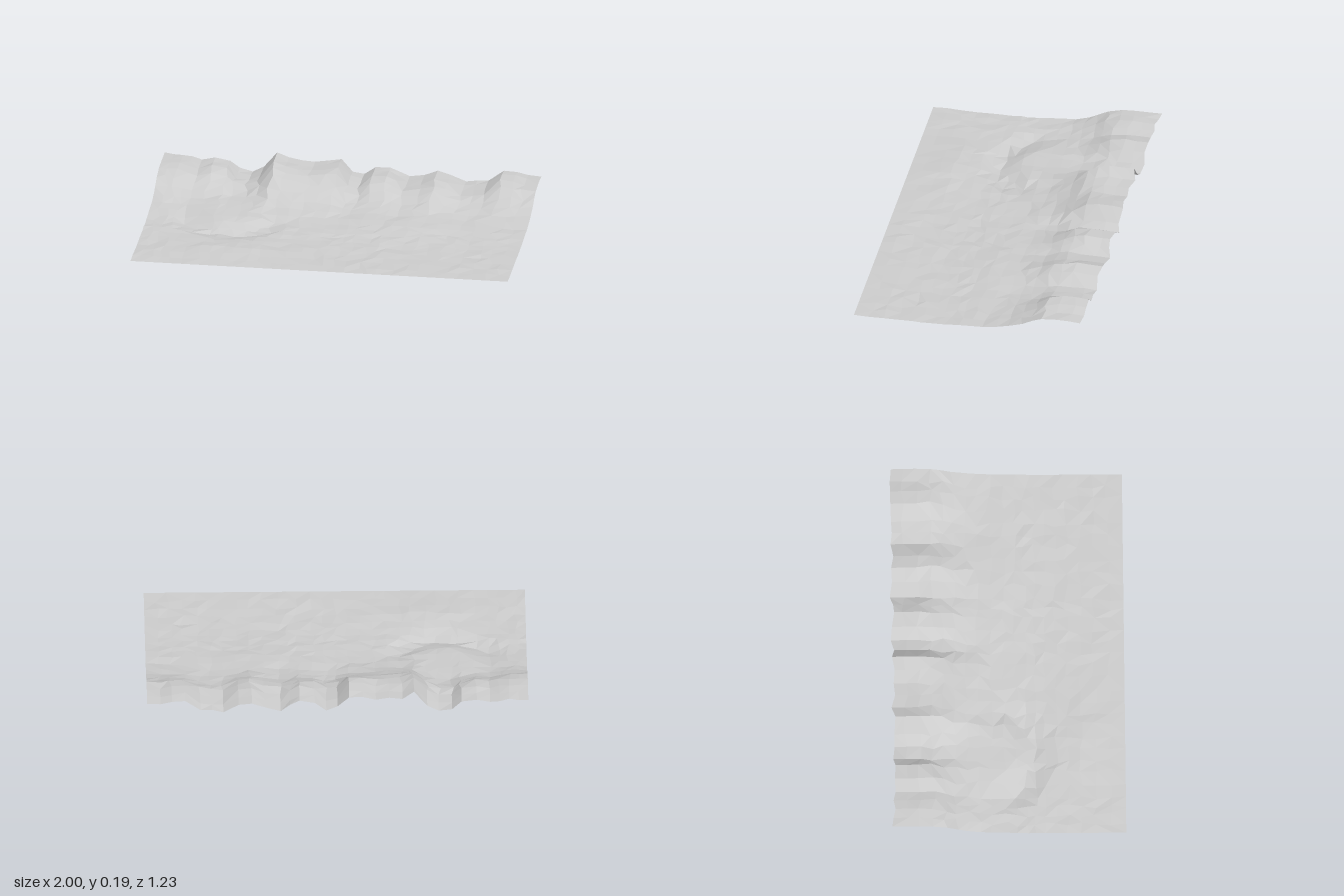
import * as THREE from 'three';

// Crest height along the back: [x, y]
const crest = [
  [-1, 0.15], [-0.9, 0.15], [-0.8, 0.13], [-0.73, 0.145], [-0.65, 0.135], [-0.6, 0.09],
  [-0.53, 0.08], [-0.47, 0.11], [-0.4, 0.195], [-0.34, 0.165], [-0.2, 0.152], [-0.06, 0.175],
  [0, 0.11], [0.06, 0.095], [0.12, 0.14], [0.2, 0.145], [0.3, 0.095], [0.38, 0.11],
  [0.45, 0.14], [0.52, 0.125], [0.6, 0.085], [0.72, 0.1], [0.8, 0.16], [0.87, 0.155],
  [0.93, 0.14], [1, 0.14],
];
// Share of the crest height reached at each depth: [z, share]
const slope = [[-0.62, 0.97], [-0.47, 1], [-0.38, 0.9], [-0.3, 0.5], [-0.2, 0.19], [-0.1, 0.05], [0.05, 0]];

// Straight-line interpolation through a list of points
function sample(points, t) {
  if (t <= points[0][0]) return points[0][1];
  for (let i = 1; i < points.length; i++) {
    const [a, u] = points[i - 1], [b, v] = points[i];
    if (t <= b) return u + (v - u) * (t - a) / (b - a);
  }
  return points[points.length - 1][1];
}

const bump = (x, z, cx, cz, rx, rz) => Math.exp(-(((x - cx) / rx) ** 2) - ((z - cz) / rz) ** 2);

function height(x, z) {
  // Gentle plain, flat at the front edge
  let y = 0.022 + 0.012 * THREE.MathUtils.smoothstep(-z, -0.35, 0.15);
  y += 0.018 * bump(x, z, -0.5, 0.37, 0.24, 0.1);
  y += 0.012 * bump(x, z, 0.4, -0.05, 0.3, 0.14);
  // Rounded debris fan below the western valley, with a trough at its foot
  const r = Math.hypot((x + 0.56) / 1.05, z + 0.1);
  y += 0.018 * (1 - THREE.MathUtils.smoothstep(r, 0.1, 0.22));
  y -= 0.027 * Math.exp(-(((r - 0.25) / 0.05) ** 2)) * THREE.MathUtils.smoothstep(z, -0.1, 0.08);
  // Mountain side
  const shift = 0.025 * Math.sin(x * 9 + 1);
  const s = sample(slope, z + shift * THREE.MathUtils.smoothstep(z, -0.45, -0.3));
  return y + (sample(crest, x) - y) * s;
}

function createTerrain() {
  let seed = 7;
  const rand = () => {
    seed = (seed * 16807) % 2147483647;
    return seed / 2147483647 - 0.5;
  };
  // Grid columns follow the crest points, with one extra where they are far apart
  const xs = [];
  crest.forEach(([x], i) => {
    if (i && x - crest[i - 1][0] > 0.09) xs.push((x + crest[i - 1][0]) / 2);
    xs.push(x);
  });
  const zs = [-0.605, -0.54, -0.47, -0.4, -0.34, -0.28, -0.22, -0.16, -0.09, -0.02,
    0.04, 0.09, 0.14, 0.19, 0.25, 0.31, 0.38, 0.45, 0.53, 0.61];
  const nx = xs.length, nz = zs.length;
  const pos = [], index = [];
  for (let j = 0; j < nz; j++) {
    for (let i = 0; i < nx; i++) {
      const sideEdge = i === 0 || i === nx - 1, front = j === nz - 1;
      const x = xs[i] + (sideEdge || j < 3 ? 0 : rand() * 0.03);
      const z = zs[j] + (front ? 0 : rand() * 0.025);
      const y = front ? 0.02 : height(x, z) + rand() * 0.007;
      pos.push(x, Math.max(y, 0), z);
    }
  }
  // Two triangles per cell, the diagonal varying
  for (let j = 0; j < nz - 1; j++) {
    for (let i = 0; i < nx - 1; i++) {
      const a = j * nx + i, b = a + 1, c = a + nx, d = c + 1;
      if (rand() > 0) index.push(a, c, b, b, c, d);
      else index.push(a, c, d, a, d, b);
    }
  }
  const geo = new THREE.BufferGeometry();
  geo.setAttribute('position', new THREE.Float32BufferAttribute(pos, 3));
  geo.setIndex(index);
  geo.computeVertexNormals();
  return geo;
}

export function createModel() {
  const group = new THREE.Group();
  group.name = 'mountainLandscape';
  const terrain = new THREE.Mesh(createTerrain(), new THREE.MeshStandardMaterial({
    color: 0xcccccc, flatShading: true, side: THREE.DoubleSide,
  }));
  terrain.name = 'terrain';
  group.add(terrain);
  return group;
}
